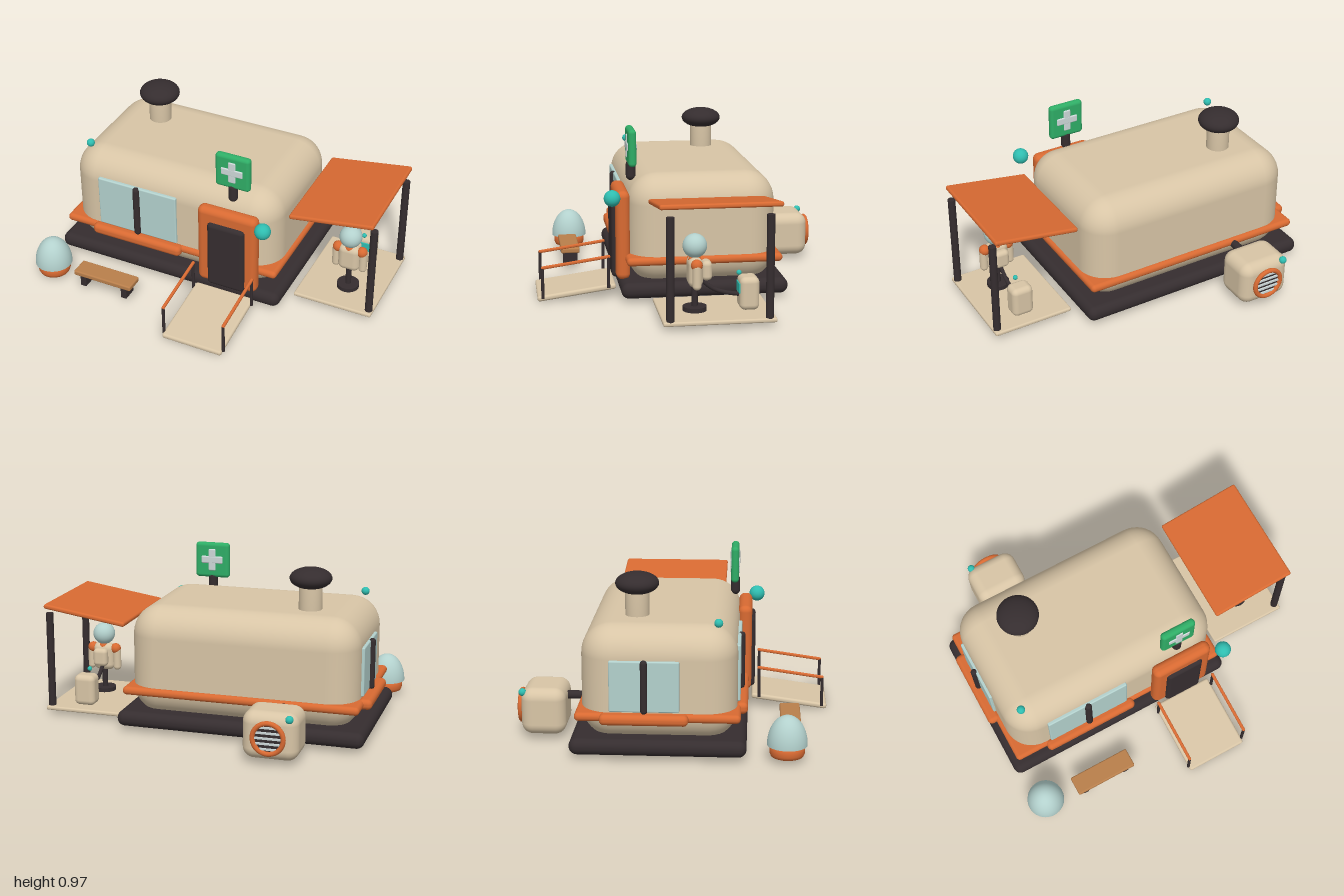
import * as THREE from 'three';
import { RoundedBoxGeometry } from 'three/addons/geometries/RoundedBoxGeometry.js';

const paint = (name, color) => {
  const m = new THREE.MeshStandardMaterial({ color });
  m.name = name;
  return m;
};

export function createModel() {
  const root = new THREE.Group();
  root.name = 'mobileClinic';
  const cream = paint('cream', 0xd8c5a6), orange = paint('orange', 0xd86a32);
  const dark = paint('charcoal', 0x352d2f), glass = paint('paleGlass', 0xb3d1cd);
  const teal = paint('teal', 0x2fbdb0), green = paint('green', 0x2fad66);
  const wood = paint('wood', 0xb97f4b), silver = paint('silver', 0xcdd8d8);
  glass.side = THREE.DoubleSide;

  const add = (name, geo, mat, x = 0, y = 0, z = 0, parent = root) => {
    const m = new THREE.Mesh(geo, mat);
    m.name = name;
    m.position.set(x, y, z);
    parent.add(m);
    return m;
  };
  // Rounded box given by its limits on each axis
  const slab = (name, mat, [x0, x1], [y0, y1], [z0, z1], r, parent = root) =>
    add(name, new RoundedBoxGeometry(x1 - x0, y1 - y0, z1 - z0, 5, r), mat,
      (x0 + x1) / 2, (y0 + y1) / 2, (z0 + z1) / 2, parent);
  const ball = (name, mat, r, x, y, z, parent = root) =>
    add(name, new THREE.SphereGeometry(r, 32, 20), mat, x, y, z, parent);
  // Upright rounded post between two heights
  const post = (name, mat, r, x, y0, y1, z, parent = root) =>
    add(name, new THREE.CapsuleGeometry(r, Math.max(y1 - y0 - 2 * r, 0.001), 8, 20), mat, x, (y0 + y1) / 2, z, parent);
  const rod = (name, mat, r, x, y0, y1, z, parent = root) =>
    add(name, new THREE.CylinderGeometry(r, r, y1 - y0, 24), mat, x, (y0 + y1) / 2, z, parent);
  const group = (name) => {
    const g = new THREE.Group();
    g.name = name;
    root.add(g);
    return g;
  };

  // Chassis, shell and belt
  slab('chassis', dark, [-0.97, 0.48], [0.038, 0.13], [-0.555, 0.408], 0.044);
  slab('belt', orange, [-0.935, 0.45], [0.224, 0.272], [-0.525, 0.375], 0.023);
  slab('shell', cream, [-0.91, 0.43], [0.09, 0.735], [-0.5, 0.355], 0.17);

  // Chimney and roof beacon
  const soft = (r, h, e) => [[0, 0], [r - e, 0], [r - e * 0.3, e * 0.3], [r, e], [r, h - e],
    [r - e * 0.3, h - e * 0.3], [r - e, h], [0, h]].map(([a, b]) => new THREE.Vector2(a, b));
  add('chimney', new THREE.LatheGeometry(soft(0.067, 0.2, 0.02), 32), cream, -0.582, 0.715, -0.206);
  ball('chimneyCap', dark, 0.121, -0.582, 0.914, -0.206).scale.y = 0.51;
  ball('roofBeacon', teal, 0.024, -0.81, 0.753, 0.25);

  // Front window
  slab('frontWindow', glass, [-0.705, -0.19], [0.28, 0.602], [0.33, 0.37], 0.008);
  post('frontMullion', dark, 0.021, -0.448, 0.273, 0.607, 0.37);
  slab('frontSill', orange, [-0.74, -0.152], [0.212, 0.278], [0.345, 0.412], 0.027);

  // End window
  slab('endWindow', glass, [-0.926, -0.885], [0.28, 0.565], [-0.335, 0.045], 0.008);
  post('endMullion', dark, 0.019, -0.932, 0.273, 0.575, -0.145);
  slab('endSill', orange, [-0.98, -0.9], [0.217, 0.277], [-0.385, 0.095], 0.027);

  // Doorway and lamp
  slab('doorFrame', orange, [-0.027, 0.346], [0.118, 0.638], [0.345, 0.426], 0.036);
  slab('door', dark, [0.045, 0.28], [0.12, 0.556], [0.39, 0.447], 0.025);
  ball('doorLamp', teal, 0.047, 0.402, 0.616, 0.453);

  // Roof sign, with a cross on both faces
  const sign = group('roofSign');
  post('signPost', dark, 0.028, 0.16, 0.67, 0.79, 0.322, sign);
  slab('signBoard', green, [0.053, 0.267], [0.762, 0.978], [0.297, 0.343], 0.021, sign);
  slab('crossBar', silver, [0.092, 0.228], [0.85, 0.896], [0.291, 0.349], 0.008, sign);
  slab('crossUpright', silver, [0.137, 0.183], [0.805, 0.941], [0.2915, 0.3485], 0.008, sign);

  // Entry ramp and handrails
  const ramp = group('entryRamp');
  const deck = add('rampDeck', new RoundedBoxGeometry(0.372, 0.032, 0.455, 4, 0.014), cream, 0.158, 0.055, 0.655, ramp);
  deck.rotation.x = Math.atan2(0.06, 0.44);
  for (const x of [-0.028, 0.347]) {
    rod('railPost', dark, 0.009, x, 0.03, 0.212, 0.85, ramp);
    rod('railPost', dark, 0.009, x, 0.08, 0.262, 0.473, ramp);
    const rail = add('handrail', new RoundedBoxGeometry(0.018, 0.018, 0.4, 3, 0.007), orange, x, 0.238, 0.66, ramp);
    rail.rotation.x = Math.atan2(0.055, 0.39);
  }

  // Awning, its posts and the platform beneath
  const awning = add('awning', new RoundedBoxGeometry(0.51, 0.028, 0.666, 4, 0.012), orange, 0.727, 0.646, -0.076);
  awning.rotation.z = Math.atan2(0.075, 0.49);
  for (const z of [0.2, -0.34]) rod('awningPost', dark, 0.022, 0.97, 0.05, 0.63, z);
  slab('platform', cream, [0.513, 0.995], [0.036, 0.06], [-0.38, 0.24], 0.01);

  // Seated attendant
  const figure = group('attendant');
  ball('head', glass, 0.067, 0.78, 0.424, 0.04, figure);
  slab('torso', cream, [0.713, 0.847], [0.195, 0.365], [0, 0.08], 0.038, figure);
  slab('backpack', cream, [0.735, 0.825], [0.232, 0.342], [-0.052, 0.005], 0.025, figure);
  ball('collar', orange, 0.036, 0.78, 0.342, 0.04, figure);
  for (const s of [-1, 1]) {
    ball('shoulder', orange, 0.032, 0.78 + s * 0.074, 0.332, 0.04, figure);
    post('arm', cream, 0.024, 0.78 + s * 0.083, 0.195, 0.345, 0.04, figure);
  }
  rod('stoolPost', dark, 0.017, 0.78, 0.07, 0.21, 0.04, figure);
  rod('stoolBase', dark, 0.066, 0.78, 0.06, 0.085, 0.04, figure);

  // Medical machine with hose and screen
  const machine = group('machine');
  slab('machineBody', cream, [0.715, 0.845], [0.06, 0.246], [-0.312, -0.203], 0.032, machine);
  slab('machineScreen', teal, [0.738, 0.828], [0.155, 0.212], [-0.206, -0.198], 0.003, machine);
  ball('machineLamp', teal, 0.014, 0.78, 0.264, -0.205, machine);
  const hose = new THREE.CatmullRomCurve3([[0.78, 0.235, 0.01], [0.78, 0.18, -0.06], [0.78, 0.157, -0.12],
    [0.78, 0.14, -0.215]].map((p) => new THREE.Vector3(...p)));
  add('hose', new THREE.TubeGeometry(hose, 24, 0.012, 10), dark, 0, 0, 0, machine);

  // Rear ventilation unit
  const vent = group('ventUnit');
  slab('ventBody', cream, [-0.673, -0.358], [0.038, 0.308], [-0.863, -0.61], 0.065, vent);
  add('ventPipe', new THREE.CylinderGeometry(0.024, 0.024, 0.16, 20), dark, -0.515, 0.238, -0.56, vent).rotation.x = Math.PI / 2;
  add('ventRing', new THREE.TorusGeometry(0.086, 0.014, 12, 40), orange, -0.515, 0.173, -0.874, vent);
  add('ventDisc', new THREE.CylinderGeometry(0.085, 0.085, 0.008, 36), dark, -0.515, 0.173, -0.865, vent).rotation.x = Math.PI / 2;
  for (let i = -2; i <= 2; i++) {
    const w = 2 * Math.sqrt(0.08 ** 2 - (i * 0.03) ** 2);
    add('ventSlat', new THREE.BoxGeometry(w, 0.011, 0.01), silver, -0.515, 0.173 + i * 0.03, -0.873, vent);
  }
  ball('ventLamp', teal, 0.022, -0.628, 0.284, -0.853, vent);

  // Domed planter
  const planter = group('planter');
  add('planterBase', new THREE.LatheGeometry(soft(0.096, 0.075, 0.025), 36), orange, -0.89, 0.035, 0.627, planter);
  add('planterDome', new THREE.SphereGeometry(0.11, 36, 16, 0, Math.PI * 2, 0, Math.PI / 2), glass, -0.89, 0.104, 0.627, planter).scale.y = 1.5;
  ball('plant', green, 0.08, -0.89, 0.14, 0.627, planter).scale.y = 0.7;

  // Bench
  const bench = group('bench');
  slab('benchSeat', wood, [-0.703, -0.325], [0.116, 0.148], [0.593, 0.708], 0.009, bench);
  for (const x of [-0.65, -0.378]) slab('benchLeg', dark, [x - 0.019, x + 0.019], [0.04, 0.12], [0.605, 0.695], 0.006, bench);

  return root;
}
